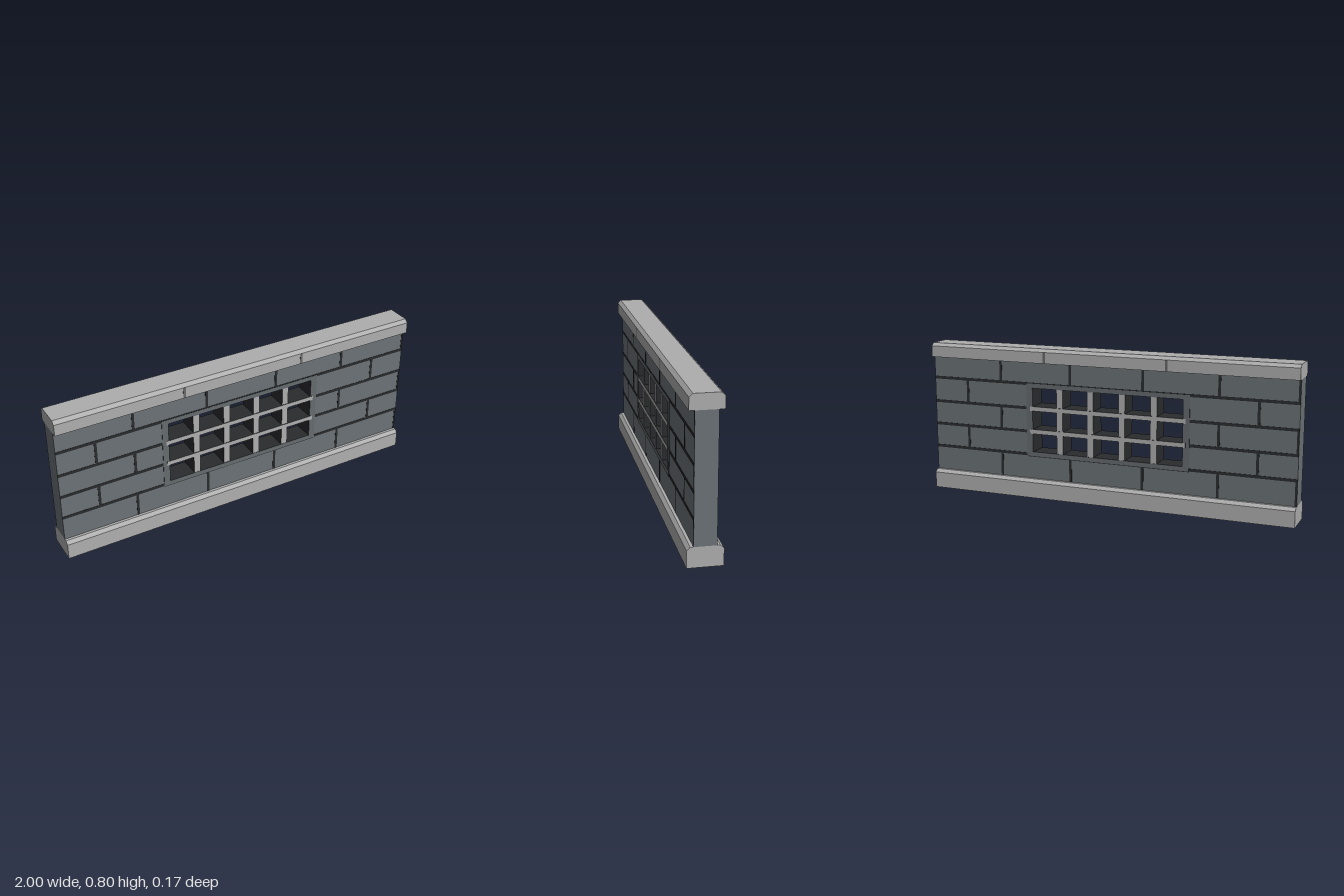
import * as THREE from 'three';

const mat = (name, color) => Object.assign(new THREE.MeshStandardMaterial({ color }), { name });

export function createModel() {
  const stone = mat('paleStone', 0xaeaeae);
  const brick = mat('slateBrick', 0x6b7275);
  const dark = mat('darkMortar', 0x2a2b2d);
  const trim = mat('windowTrim', 0x656b6e);
  const joint = mat('copingJoint', 0x686868);

  const model = new THREE.Group();
  model.name = 'wallWithGrille';

  const add = (name, geo, material, x = 0, y = 0, z = 0, parent = model) => {
    const m = new THREE.Mesh(geo, material);
    m.name = name;
    m.position.set(x, y, z);
    parent.add(m);
    return m;
  };

  // Rectangular slab with a rectangular hole, centred in depth
  const rect = (S, x, y0, y1) => new S([[-x, y0], [x, y0], [x, y1], [-x, y1]].map(p => new THREE.Vector2(...p)));
  const slabWithHole = (outer, inner, depth) => {
    const shape = rect(THREE.Shape, ...outer);
    shape.holes.push(rect(THREE.Path, ...inner));
    return new THREE.ExtrudeGeometry(shape, { depth, bevelEnabled: false }).translate(0, 0, -depth / 2);
  };

  // Chamfered beam running along x
  const beam = (name, y0, y1, z, chamferZ, chamferY) => {
    const pts = [[-z, y0], [z, y0], [z, y1 - chamferY], [z - chamferZ, y1], [chamferZ - z, y1], [-z, y1 - chamferY]];
    const shape = new THREE.Shape(pts.map(p => new THREE.Vector2(...p)));
    const geo = new THREE.ExtrudeGeometry(shape, { depth: 2, bevelEnabled: false });
    add(name, geo.translate(0, 0, -1).rotateY(Math.PI / 2), stone);
  };
  beam('basePlinth', 0, 0.1, 0.085, 0.017, 0.016);
  beam('coping', 0.725, 0.8, 0.08, 0.018, 0.016);

  // Wall body and window surround
  add('wall', slabWithHole([1, 0.1, 0.725], [0.45, 0.222, 0.612], 0.107), brick);
  add('windowFrame', slabWithHole([0.45, 0.222, 0.612], [0.415, 0.245, 0.588], 0.112), [trim, dark]);

  // Grille bars: pale faces, dark sides
  const barMats = [dark, dark, dark, dark, stone, stone];
  for (const x of [-0.26, -0.087, 0.087, 0.26])
    add('verticalBar', new THREE.BoxGeometry(0.035, 0.346, 0.108), barMats, x, 0.4165);
  for (const y of [0.355, 0.478])
    add('horizontalBar', new THREE.BoxGeometry(0.86, 0.024, 0.115), barMats, 0, y);

  // Mortar lines and coping joints, one set per face
  const rows = [0.1, 0.23, 0.355, 0.48, 0.61, 0.725];
  const joints = [
    [-0.6, -0.2, 0.2, 0.6, 0.994], [-0.8, 0.8], [-0.6, 0.6, 0.994],
    [-0.8, 0.8], [-0.6, -0.2, 0.2, 0.6, 0.994],
  ];
  for (const side of ['front', 'back']) {
    const face = new THREE.Group();
    face.name = side + 'Joints';
    if (side === 'back') face.rotation.y = Math.PI;
    model.add(face);
    const line = (w, h, x, y) => add('mortarLine', new THREE.BoxGeometry(w, h, 0.003), dark, x, y, 0.0533, face);
    rows.slice(1, 5).forEach(y => {
      for (const s of [-1, 1]) line(0.55, 0.015, s * 0.725, y);
    });
    line(0.9, 0.006, 0, 0.614);
    line(0.9, 0.006, 0, 0.221);
    joints.forEach((xs, i) => xs.forEach(x =>
      line(x > 0.9 ? 0.01 : 0.014, rows[i + 1] - rows[i], x, (rows[i] + rows[i + 1]) / 2)));
    for (const x of [-0.333, 0.333])
      add('copingJoint', new THREE.BoxGeometry(0.014, 0.057, 0.003), joint, x, 0.755, 0.0793, face);
  }
  return model;
}
